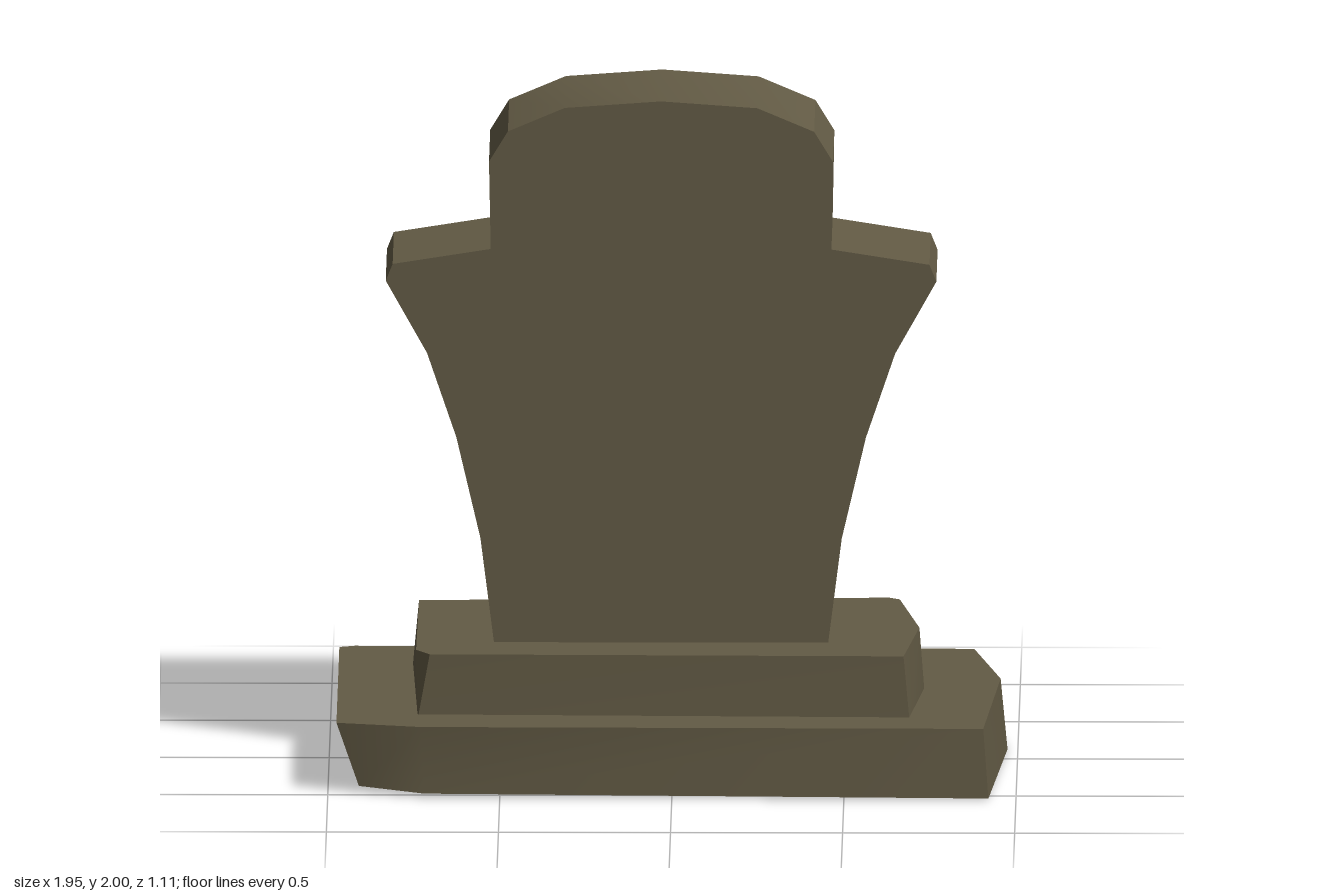
import * as THREE from 'three';
import { toCreasedNormals } from 'three/addons/utils/BufferGeometryUtils.js';

const CREASE = 0.5;

// Open-bottomed block between two rings of [x, y, z] corners, capped on top.
function hewnBlock(bottom, top) {
  const pos = [];
  const n = top.length;
  const centre = [0, top[0][1], 0];
  const same = (a, b) => a.every((v, k) => v === b[k]);
  const tri = (a, b, c) => {
    if (!same(a, b) && !same(b, c) && !same(a, c)) pos.push(...a, ...b, ...c);
  };
  for (let i = 0; i < n; i++) {
    const j = (i + 1) % n;
    tri(bottom[i], top[i], bottom[j]);
    tri(top[i], top[j], bottom[j]);
    tri(centre, top[j], top[i]);
  }
  const g = new THREE.BufferGeometry();
  g.setAttribute('position', new THREE.Float32BufferAttribute(pos, 3));
  return toCreasedNormals(g, CREASE);
}

export function createModel() {
  const group = new THREE.Group();
  const stone = new THREE.MeshStandardMaterial({ color: 0x635b45, side: THREE.DoubleSide });
  stone.name = 'weatheredStone';
  const add = (name, geometry) => {
    const mesh = new THREE.Mesh(geometry, stone);
    mesh.name = name;
    group.add(mesh);
    return mesh;
  };
  const level = (y, ring) => ring.map(([x, z]) => [x, y, z]);

  // Lower slab, with uneven chipped corners and a pointed right-hand end
  add('lowerPlinth', hewnBlock(
    [[-0.965, 0.025, -0.54], [-0.965, 0.025, -0.54], [0.91, 0.005, -0.54], [0.97, 0, -0.13],
      [0.92, 0.005, 0.557], [-0.72, 0.013, 0.54], [-0.91, 0.02, 0.47]],
    level(0.21, [[-0.975, -0.54], [-0.93, -0.557], [0.87, -0.53], [0.95, -0.13],
      [0.905, 0.547], [-0.73, 0.535], [-0.975, 0.48]])));

  // Upper step
  add('upperPlinth', hewnBlock(
    level(0.195, [[-0.76, -0.37], [0.665, -0.39], [0.665, -0.39], [0.73, 0],
      [0.69, 0.395], [-0.74, 0.365], [-0.74, 0.365]]),
    level(0.39, [[-0.742, -0.36], [0.625, -0.403], [0.655, -0.38], [0.715, 0],
      [0.672, 0.387], [-0.705, 0.37], [-0.745, 0.31]])));

  // Headstone: half profile [half width, height] mirrored about its own axis
  const half = [[0.485, 0.385], [0.525, 0.7], [0.595, 1.0], [0.68, 1.25], [0.8, 1.465],
    [0.78, 1.515], [0.495, 1.56], [0.5, 1.82], [0.445, 1.91], [0.28, 1.98]];
  const outline = [
    ...half.map(([x, y]) => new THREE.Vector2(x, y)),
    new THREE.Vector2(0, 2),
    ...half.map(([x, y]) => new THREE.Vector2(-x, y)).reverse(),
  ];
  const slab = new THREE.ExtrudeGeometry(new THREE.Shape(outline), { depth: 0.43, bevelEnabled: false });
  const headstone = add('headstone', toCreasedNormals(slab, CREASE));
  headstone.position.set(-0.034, 0, -0.225);

  return group;
}
